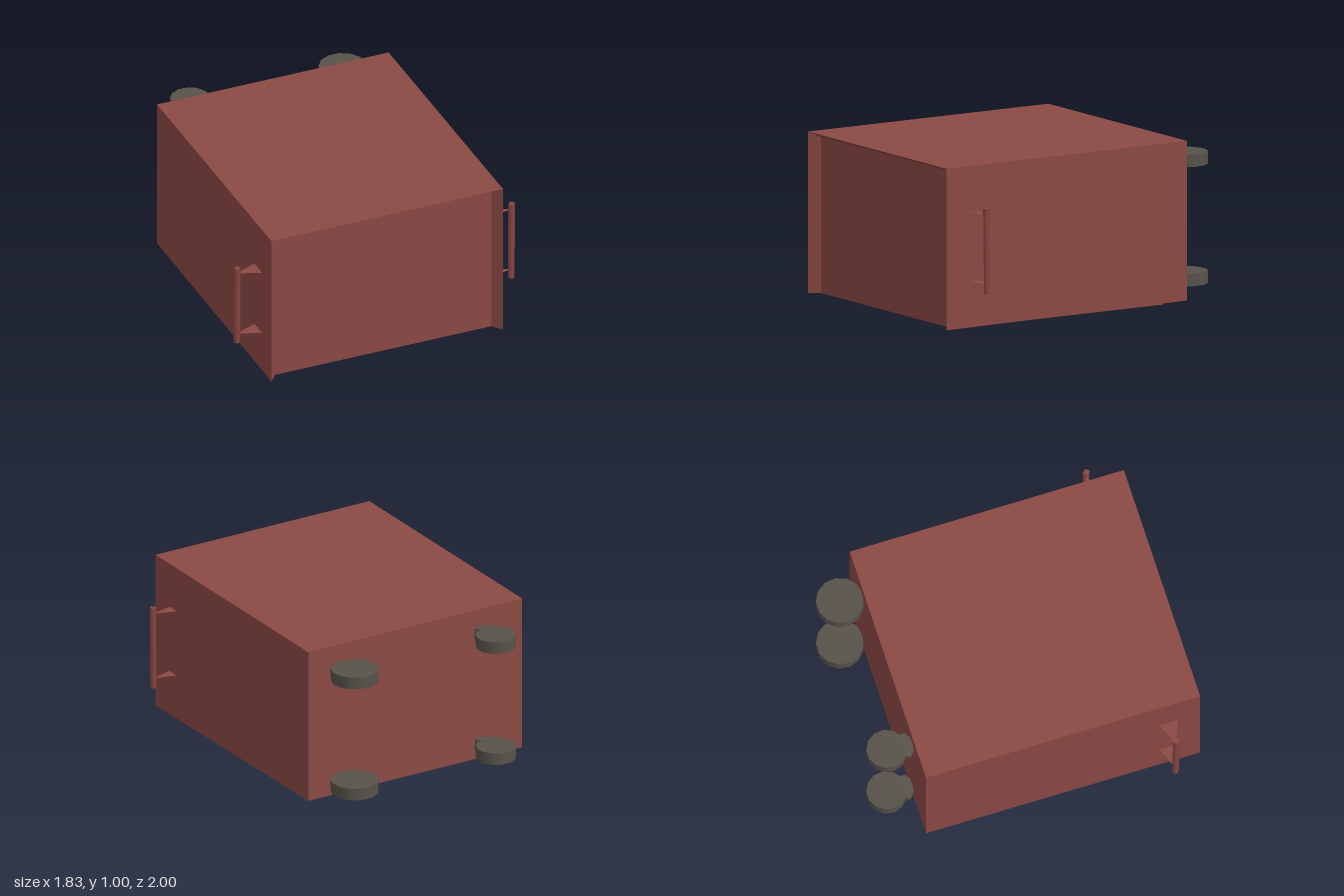
import * as THREE from 'three';

export function createModel() {
  const model = new THREE.Group();
  const red = new THREE.MeshStandardMaterial({ color: 0x8c4944, side: THREE.DoubleSide });
  red.name = 'brickRed';
  const grey = new THREE.MeshStandardMaterial({ color: 0x57534b });
  grey.name = 'darkGrey';

  const add = (name, geometry, material, x = 0, y = 0, z = 0) => {
    const mesh = new THREE.Mesh(geometry, material);
    mesh.name = name;
    mesh.position.set(x, y, z);
    model.add(mesh);
    return mesh;
  };

  // Flat polygons, each given as a fan of corner points
  const faces = (polygons) => {
    const points = [];
    for (const p of polygons) {
      for (let i = 1; i < p.length - 1; i++) points.push(...p[0], ...p[i], ...p[i + 1]);
    }
    const g = new THREE.BufferGeometry();
    g.setAttribute('position', new THREE.Float32BufferAttribute(points, 3));
    g.computeVertexNormals();
    return g;
  };

  // Body: back, outer front and recessed front cross-sections
  const section = (w, bottom, top, z) => [[-w, bottom, z], [w, bottom, z], [w, top, z], [-w, top, z]];
  const back = section(0.755, 0.03, 1, -0.72);
  const rim = section(0.755, 0.018, 1, 1);
  const inner = section(0.705, 0.02, 0.968, 0.94);
  const bodyFaces = [
    [...back].reverse(),
    inner,
    [back[0], back[1], inner[1], inner[0]],
    [back[0], inner[0], rim[0]],
    [back[1], rim[1], inner[1]],
  ];
  for (let i = 1; i < 4; i++) {
    const j = (i + 1) % 4;
    bodyFaces.push([back[i], back[j], rim[j], rim[i]], [rim[i], rim[j], inner[j], inner[i]]);
  }
  add('body', faces(bodyFaces), red);

  // Raised panel on the underside with thin broken strips
  add('basePanel', new THREE.BoxGeometry(1.33, 0.03, 1.46), red, 0, 0.018, 0.12);
  [-0.42, -0.05, 0.1, 0.38, 0.6, 0.75].forEach((z, row) => {
    [[-0.36, 0.34], [0, 0.12], [0.3, 0.26]].forEach(([x, length]) => {
      const shift = row % 2 ? 0.08 : -0.05;
      add('baseStrip', new THREE.BoxGeometry(length, 0.006, 0.014), grey, x + shift, 0.003, z);
    });
  });

  // Wheels standing off the back, with a small mount on the right pair
  const disc = (r, h, sides) => new THREE.CylinderGeometry(r, r, h, sides).toNonIndexed();
  for (const y of [0.128, 0.853]) {
    add('leftWheel', disc(0.144, 0.075, 13), grey, 0.515, y, -0.858);
    add('rightWheel', disc(0.122, 0.075, 13), grey, -0.47, y, -0.877);
    const mount = add('wheelMount', disc(0.06, 0.07, 10), grey, -0.475, y, -0.76);
    mount.scale.set(1.25, 1, 0.75);
    mount.rotation.z = 0.15;
  }

  // Side handles: diamond bars held by flat triangular brackets
  for (const side of [1, -1]) {
    const drop = side > 0 ? 0 : -0.02;
    const half = side > 0 ? 0.042 : 0.06;
    const bar = add('handleBar', new THREE.CylinderGeometry(0.022, 0.022, 0.52, 4),
      red, side * 0.894, 0.5 + drop, 0.805);
    bar.rotation.x = 0.012;
    for (const y of [0.72, 0.3]) {
      add('handleBracket', faces([[
        [side * 0.75, 0, -half], [side * 0.75, 0, half], [side * 0.9, 0, 0],
      ]]), red, 0, y + drop, 0.803);
    }
  }
  return model;
}
